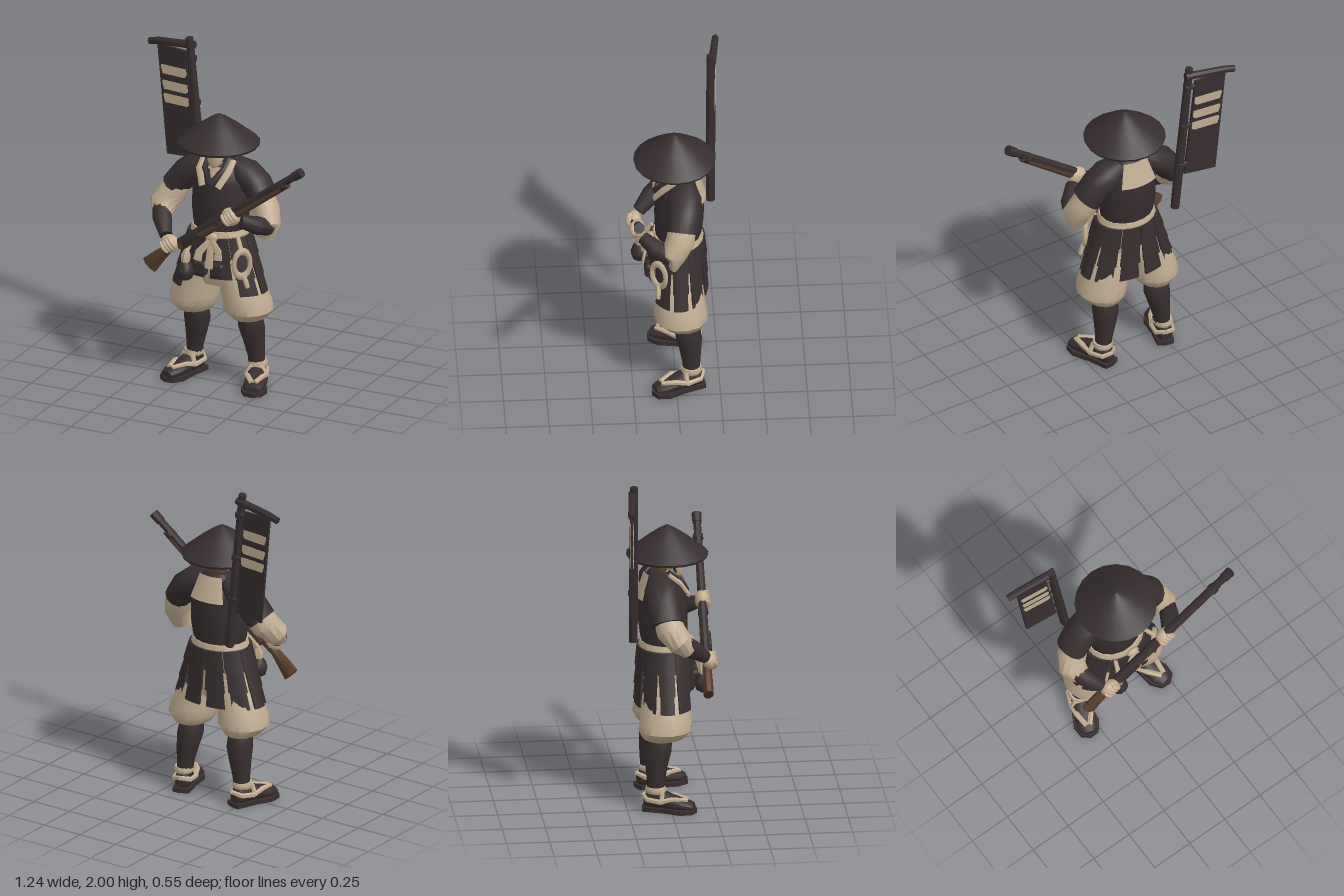
import * as THREE from 'three';
import { toCreasedNormals } from 'three/addons/utils/BufferGeometryUtils.js';
import { RoundedBoxGeometry } from 'three/addons/geometries/RoundedBoxGeometry.js';

const V = (x, y, z) => new THREE.Vector3(x, y, z);
const flat = (name, color) => Object.assign(new THREE.MeshStandardMaterial({ color }), { name });
const CX = -0.045; // body centre line

// Skin a row of rings [x, y, z, ru, rv]; ref sets the ring axes, dir (along the path) fixes their facing
function loft(rings, { n = 12, ref = V(0, 0, 1), dir = null, crease = 0.75 } = {}) {
  const pos = [], idx = [], c = rings.map(r => V(r[0], r[1], r[2])), last = rings.length - 1;
  rings.forEach((r, i) => {
    const t = dir ? dir.clone() : c[Math.min(i + 1, last)].clone().sub(c[Math.max(i - 1, 0)]);
    t.normalize();
    const u = t.clone().cross(ref).normalize(), v = u.clone().cross(t);
    for (let j = 0; j < n; j++) {
      const a = (j + 0.5) / n * Math.PI * 2;
      const p = c[i].clone().addScaledVector(u, Math.cos(a) * r[3]).addScaledVector(v, Math.sin(a) * (r[4] ?? r[3]));
      pos.push(p.x, p.y, p.z);
    }
  });
  for (let i = 0; i < last; i++) for (let j = 0; j < n; j++) {
    const k = (j + 1) % n, a = i * n, b = a + n;
    idx.push(a + j, b + j, a + k, a + k, b + j, b + k);
  }
  const s = rings.length * n;
  pos.push(...c[0].toArray(), ...c[last].toArray());
  for (let j = 0; j < n; j++) {
    const k = (j + 1) % n;
    idx.push(s, j, k, s + 1, last * n + k, last * n + j);
  }
  const g = new THREE.BufferGeometry();
  g.setAttribute('position', new THREE.Float32BufferAttribute(pos, 3));
  g.setIndex(idx);
  return toCreasedNormals(g, crease);
}

// Thick plate wrapped round the flaring skirt, angles measured from the front
function skirtPanel(a0, a1, y0, y1, out) {
  const g = new THREE.BoxGeometry(1, 1, 0.012, 5, 2, 1), p = g.attributes.position;
  for (let i = 0; i < p.count; i++) {
    const a = a0 + (a1 - a0) * (p.getX(i) + 0.5), y = y1 + (y0 - y1) * (p.getY(i) + 0.5);
    const t = (0.93 - y) / 0.33, d = p.getZ(i) + out;
    p.setXYZ(i, CX + Math.sin(a) * (0.172 + 0.112 * t + d), y, -0.015 + Math.cos(a) * (0.14 + 0.03 * t + d));
  }
  g.computeVertexNormals();
  return toCreasedNormals(g, 0.75);
}

// Flat banner piece, following the slight turn of the crossbar
function bannerPlate(pts, z, depth) {
  const g = new THREE.ExtrudeGeometry(new THREE.Shape(pts.map(p => new THREE.Vector2(...p))), { depth, bevelEnabled: false });
  const p = g.attributes.position;
  for (let i = 0; i < p.count; i++) p.setZ(i, p.getZ(i) + z + (p.getX(i) + 0.35) * 0.11);
  g.computeVertexNormals();
  return g;
}

export function createModel() {
  const root = new THREE.Group();
  root.name = 'footSoldier';
  const dark = flat('darkLacquer', 0x362d2e), cloth = flat('paleCloth', 0xbfab90);
  const skin = flat('skin', 0xc4ad90), wood = flat('wood', 0x543c2b), hair = flat('brownHair', 0x6e4f35);
  const add = (name, geo, mat, parent = root) => {
    const m = new THREE.Mesh(geo, mat);
    m.name = name;
    parent.add(m);
    return m;
  };
  const up = V(0, 1, 0);
  const ball = (name, p, s, mat, parent) => {
    const m = add(name, new THREE.SphereGeometry(1, 12, 8), mat, parent);
    m.position.set(...p);
    m.scale.set(...s);
    return m;
  };

  // Torso, breastplate and hips
  add('torso', loft([[CX, 0.93, -0.02, 0.155, 0.125], [CX, 1.1, -0.028, 0.165, 0.13], [CX, 1.26, -0.03, 0.18, 0.135],
    [CX, 1.34, -0.035, 0.145, 0.105], [CX, 1.39, -0.035, 0.075, 0.07]], { dir: up, n: 16 }), dark);
  add('breastplate', loft([[CX, 0.96, -0.02, 0.16, 0.133], [CX, 1.08, -0.025, 0.176, 0.143], [CX, 1.2, -0.028, 0.172, 0.144],
    [CX, 1.27, -0.028, 0.15, 0.137]], { dir: up, n: 16 }), dark);
  add('hips', loft([[CX, 0.63, -0.02, 0.14, 0.11], [CX, 0.72, -0.015, 0.2, 0.142], [CX, 0.94, -0.015, 0.16, 0.13]], { dir: up }), cloth);
  add('belt', loft([[CX, 0.922, -0.018, 0.166, 0.14], [CX, 0.945, -0.018, 0.178, 0.15], [CX, 0.974, -0.018, 0.168, 0.14]], { dir: up, n: 18 }), cloth);
  const patch = add('backPatch', new THREE.CylinderGeometry(0.132, 0.198, 0.145, 10, 1, true, Math.PI - 0.62, 1.24), cloth);
  patch.position.set(CX, 1.3125, -0.034);
  patch.scale.z = 0.745;
  for (const s of [-1, 1]) {
    add('collarBand', loft([[CX + s * 0.09, 1.385, 0.0, 0.023, 0.014], [CX + s * 0.092, 1.335, 0.068, 0.023, 0.013],
      [CX + s * 0.05, 1.25, 0.12, 0.021, 0.01]], { n: 6 }), cloth);
    add('collarEdge', loft([[CX + s * 0.062, 1.395, 0.0, 0.018, 0.014], [CX + s * 0.058, 1.345, 0.068, 0.018, 0.014],
      [CX, 1.265, 0.118, 0.018, 0.01]], { n: 6 }), dark);
  }
  add('throat', loft([[CX, 1.27, 0.09, 0.012, 0.012], [CX, 1.35, 0.05, 0.05, 0.02]], { n: 6 }), skin);

  // Head and conical hat
  add('neck', loft([[CX, 1.32, -0.02, 0.055], [CX, 1.42, 0, 0.05]], { dir: up }), skin);
  add('head', loft([[CX, 1.355, 0.055, 0.022, 0.025], [CX, 1.375, 0.045, 0.042, 0.044], [CX, 1.41, 0.02, 0.058, 0.072],
    [CX, 1.46, 0.01, 0.066, 0.085], [CX, 1.52, 0.005, 0.066, 0.085], [CX, 1.57, 0, 0.04, 0.055]], { dir: up }), skin);
  add('hair', loft([[CX, 1.385, -0.03, 0.05, 0.04], [CX, 1.42, -0.026, 0.064, 0.056], [CX, 1.47, -0.025, 0.072, 0.064],
    [CX, 1.54, -0.02, 0.068, 0.062]], { dir: up }), hair);
  add('nose', loft([[CX, 1.425, 0.098, 0.014, 0.016], [CX, 1.475, 0.09, 0.008, 0.01]], { n: 6 }), skin);
  for (const s of [-1, 1]) {
    const eye = add('eye', new THREE.BoxGeometry(0.03, 0.008, 0.008), dark);
    eye.position.set(CX + s * 0.028, 1.467, 0.089);
    eye.rotation.y = s * 0.35;
    add('chinStrap', loft([[CX + s * 0.07, 1.5, 0.025, 0.009], [CX + s * 0.061, 1.41, 0.035, 0.009], [CX, 1.352, 0.066, 0.009]], { n: 5 }), dark);
  }
  const hat = add('conicalHat', toCreasedNormals(new THREE.LatheGeometry([[0, 1.56], [0.21, 1.487], [0.232, 1.477], [0.238, 1.492],
    [0.12, 1.588], [0.05, 1.638], [0, 1.666]].map(p => new THREE.Vector2(...p)), 20), 0.6), dark);
  hat.position.x = CX;

  // Armoured skirt: mirrored split panels in overlapping tiers, parting further towards the hem
  const spans = [[0.04, 0.64], [0.66, 1.3], [1.32, 1.93], [1.95, 2.55], [2.57, 3.13]];
  for (const s of [-1, 1]) spans.forEach(([a0, a1], i) => {
    const tiers = i ? [[0.94, 0.82], [0.84, 0.7], [0.72, 0.6]] : [[0.94, 0.82], [0.84, 0.7]];
    tiers.forEach(([y0, y1], k) => {
      const b0 = a0 + 0.035 * k, b1 = a1 - 0.035 * k;
      add('skirtPanel', skirtPanel(s > 0 ? b0 : -b1, s > 0 ? b1 : -b0, y0, y1, 0.016 - 0.006 * k), dark);
    });
  });

  // Legs and feet
  for (const s of [-1, 1]) {
    const x = o => CX + s * o;
    add('trouserLeg', loft([[x(0.175), 0.415, -0.05, 0.07, 0.08], [x(0.175), 0.43, -0.04, 0.105, 0.12], [x(0.175), 0.48, -0.03, 0.145, 0.155],
      [x(0.168), 0.53, -0.025, 0.143, 0.152], [x(0.135), 0.64, -0.022, 0.125, 0.14], [x(0.09), 0.76, -0.02, 0.1, 0.125]], { dir: up, n: 14 }), cloth);
    add('shin', loft([[x(0.2), 0.09, -0.088, 0.046, 0.05], [x(0.196), 0.17, -0.086, 0.05, 0.053], [x(0.184), 0.27, -0.08, 0.066, 0.066],
      [x(0.174), 0.35, -0.07, 0.079, 0.077], [x(0.172), 0.41, -0.062, 0.072, 0.074], [x(0.172), 0.45, -0.06, 0.06]], { dir: up }), dark);
    const foot = new THREE.Group();
    foot.name = s > 0 ? 'leftFoot' : 'rightFoot';
    foot.position.set(x(0.205), 0, -0.088);
    foot.rotation.y = s * 0.32;
    root.add(foot);
    const fwd = { ref: up, dir: V(0, 0, 1), n: 12 };
    const shape = new THREE.Shape([[-0.05, -0.07], [0, -0.08], [0.05, -0.07], [0.057, 0.06], [0.076, 0.16], [0.052, 0.225],
      [0, 0.245], [-0.052, 0.225], [-0.076, 0.16], [-0.057, 0.06]].map(p => new THREE.Vector2(p[0], -p[1])));
    add('sandalSole', new THREE.ExtrudeGeometry(shape, { depth: 0.026, bevelEnabled: false }).rotateX(-Math.PI / 2), dark, foot);
    add('foot', loft([[0, 0.055, -0.065, 0.028, 0.035], [0, 0.065, -0.04, 0.046, 0.06], [0, 0.068, 0.03, 0.05, 0.065],
      [0, 0.055, 0.1, 0.061, 0.045], [0, 0.045, 0.18, 0.062, 0.032], [0, 0.038, 0.225, 0.04, 0.02]], fwd), dark, foot);
    for (const e of [-1, 1]) add('sandalStrap', loft([[e * 0.01, 0.075, 0.19, 0.016, 0.012], [e * 0.045, 0.085, 0.11, 0.017, 0.014],
      [e * 0.056, 0.066, 0.04, 0.014, 0.017], [e * 0.05, 0.075, -0.04, 0.013, 0.016], [0, 0.09, -0.072, 0.013, 0.014]], { n: 6, ref: up }), cloth, foot);
    add('instepStrap', loft([[-0.058, 0.06, 0.05, 0.015], [-0.034, 0.117, 0.045, 0.015], [0.034, 0.117, 0.045, 0.015], [0.058, 0.06, 0.05, 0.015]], { n: 6 }), cloth, foot);
    add('ankleTie', loft([[0, 0.108, 0, 0.053, 0.056], [0, 0.125, 0, 0.059, 0.062], [0, 0.143, 0, 0.054, 0.056]], { dir: up }), cloth, foot);
  }

  // Arms: shoulder guard, loose sleeve, bracer and fist
  const arm = (side, guard, sleeve, bracer, fist) => {
    const g = new THREE.Group();
    g.name = side + 'Arm';
    root.add(g);
    add('shoulderGuard', loft(guard), dark, g);
    add('sleeve', loft(sleeve), cloth, g);
    add('bracer', loft(bracer, { n: 10 }), dark, g);
    ball('fist', fist, [0.06, 0.055, 0.042], skin, g);
    for (let i = 0; i < 4; i++) {
      const t = (i - 1.5) * 0.022;
      const f = ball('finger', [fist[0] + t * 0.8, fist[1] + t * 0.6, fist[2] + 0.022], [0.015, 0.042, 0.026], skin, g);
      f.rotation.z = 0.65;
    }
  };
  arm('right',
    [[-0.12, 1.35, -0.05, 0.05, 0.07], [-0.19, 1.31, -0.05, 0.082, 0.1], [-0.27, 1.25, -0.045, 0.085, 0.1], [-0.345, 1.155, -0.03, 0.08, 0.095]],
    [[-0.3, 1.2, -0.035, 0.07, 0.08], [-0.35, 1.12, -0.01, 0.085, 0.085], [-0.385, 1.06, 0.04, 0.082, 0.075], [-0.365, 1.01, 0.09, 0.06, 0.055]],
    [[-0.385, 1.05, 0.06, 0.055], [-0.35, 1.0, 0.12, 0.056], [-0.29, 0.935, 0.195, 0.038]], [-0.25, 0.9, 0.222]);
  arm('left',
    [[0.03, 1.35, -0.05, 0.05, 0.07], [0.1, 1.31, -0.05, 0.082, 0.1], [0.175, 1.25, -0.045, 0.085, 0.1], [0.235, 1.165, -0.03, 0.08, 0.095]],
    [[0.2, 1.21, -0.035, 0.065, 0.08], [0.245, 1.12, -0.02, 0.08, 0.085], [0.275, 1.05, 0.015, 0.08, 0.075], [0.25, 0.955, 0.02, 0.062, 0.03]],
    [[0.29, 1.03, 0.03, 0.05], [0.255, 1.06, 0.11, 0.055], [0.185, 1.105, 0.195, 0.038]], [0.14, 1.135, 0.22]);

  // Long gun held across the body
  const gun = new THREE.Group();
  gun.name = 'longGun';
  root.add(gun);
  const along = (x, d = 0) => [x + 0.59 * d, 0.925 + (x + 0.18) * 0.732 - 0.81 * d, 0.21 + (x + 0.18) * 0.032];
  const rod = (name, x0, x1, d, r0, r1, mat) => add(name, loft([[...along(x0, d), r0], [...along(x1, d), r1]], { n: 8 }), mat, gun);
  rod('barrel', -0.2, 0.58, 0, 0.025, 0.023, dark);
  rod('muzzle', 0.55, 0.6, 0, 0.028, 0.03, dark);
  rod('foreStock', -0.2, 0.5, 0.022, 0.03, 0.02, wood);
  for (const x of [0.04, 0.46]) rod('barrelBand', x, x + 0.025, 0.008, 0.032, 0.031, dark);
  add('lock', loft([[-0.17, 0.925, 0.236, 0.032, 0.012], [-0.06, 1.0, 0.238, 0.024, 0.012]], { n: 8 }), dark, gun);
  add('buttStock', loft([[-0.388, 0.738, 0.205, 0.055, 0.03], [-0.33, 0.8, 0.206, 0.042, 0.03], [-0.27, 0.855, 0.208, 0.028, 0.027],
    [-0.17, 0.925, 0.21, 0.03, 0.026]], { n: 8 }), wood, gun);

  // Banner on the back
  const banner = new THREE.Group();
  banner.name = 'backBanner';
  root.add(banner);
  add('bannerPole', loft([[-0.25, 1.03, -0.218, 0.026], [-0.277, 1.3, -0.218, 0.028], [-0.345, 2, -0.222, 0.023]], { n: 8 }), dark, banner);
  add('crossbar', loft([[-0.315, 1.955, -0.228, 0.024], [-0.56, 1.93, -0.258, 0.021], [-0.622, 1.915, -0.265, 0.02]], { n: 8 }), dark, banner);
  add('bannerCloth', bannerPlate([[-0.5, 1.245], [-0.305, 1.26], [-0.375, 1.905], [-0.565, 1.915]], -0.242, 0.016), dark, banner);
  for (const y of [1.765, 1.67, 1.59]) {
    const l = -0.535 + (1.765 - y) * 0.1, r = l + 0.165, h = 0.027;
    const pts = [[l + 0.008, y - h], [r - 0.01, y - h], [r + 0.004, y - h * 0.5], [r, y + h], [l, y + h], [l - 0.006, y + h * 0.6]];
    for (const z of [-0.227, -0.245]) add('bannerStripe', bannerPlate(pts, z, 0.004), cloth, banner);
  }
  for (const y of [1.87, 1.6, 1.33]) {
    const x = -0.25 - (y - 1.03) * 0.094;
    add('bannerLoop', loft([[x - 0.045, y, -0.234, 0.014], [x + 0.015, y, -0.224, 0.028]], { n: 6, ref: up }), dark, banner);
  }

  // Belt knot, pouches, gourd and rope coil
  ball('beltKnot', [-0.025, 0.945, 0.137], [0.04, 0.032, 0.022], cloth);
  for (const [x, y] of [[-0.085, 0.81], [-0.02, 0.77], [0.035, 0.83]])
    add('beltTail', loft([[-0.025, 0.94, 0.145, 0.016, 0.01], [x, y + 0.05, 0.176, 0.026, 0.01], [x * 1.1, y, 0.184, 0.029, 0.008]], { n: 6 }), cloth);
  for (const x of [-0.09, 0.02]) add('pouch', new RoundedBoxGeometry(0.09, 0.09, 0.05, 2, 0.022), dark).position.set(x, 0.755, 0.152);
  add('gourd', loft([[-0.165, 0.68, 0.195, 0.015], [-0.165, 0.695, 0.195, 0.04], [-0.165, 0.735, 0.195, 0.052], [-0.165, 0.775, 0.195, 0.04],
    [-0.165, 0.795, 0.195, 0.024]], { dir: up }), dark);
  add('gourdCord', loft([[-0.165, 0.79, 0.195, 0.026], [-0.162, 0.835, 0.192, 0.028], [-0.158, 0.865, 0.187, 0.016], [-0.14, 0.95, 0.125, 0.012]], { n: 6 }), cloth);
  const coil = add('ropeCoil', new THREE.TorusGeometry(0.05, 0.015, 6, 20), cloth);
  coil.position.set(0.152, 0.8, 0.1);
  coil.scale.y = 1.55;
  coil.rotation.y = 0.85;
  add('ropeEnd', loft([[0.19, 0.66, 0.105, 0.013], [0.178, 0.7, 0.105, 0.015], [0.16, 0.735, 0.105, 0.014]], { n: 6 }), cloth);
  add('ropeHook', loft([[0.15, 0.87, 0.1, 0.014], [0.11, 0.945, 0.07, 0.013]], { n: 6 }), cloth);
  return root;
}
